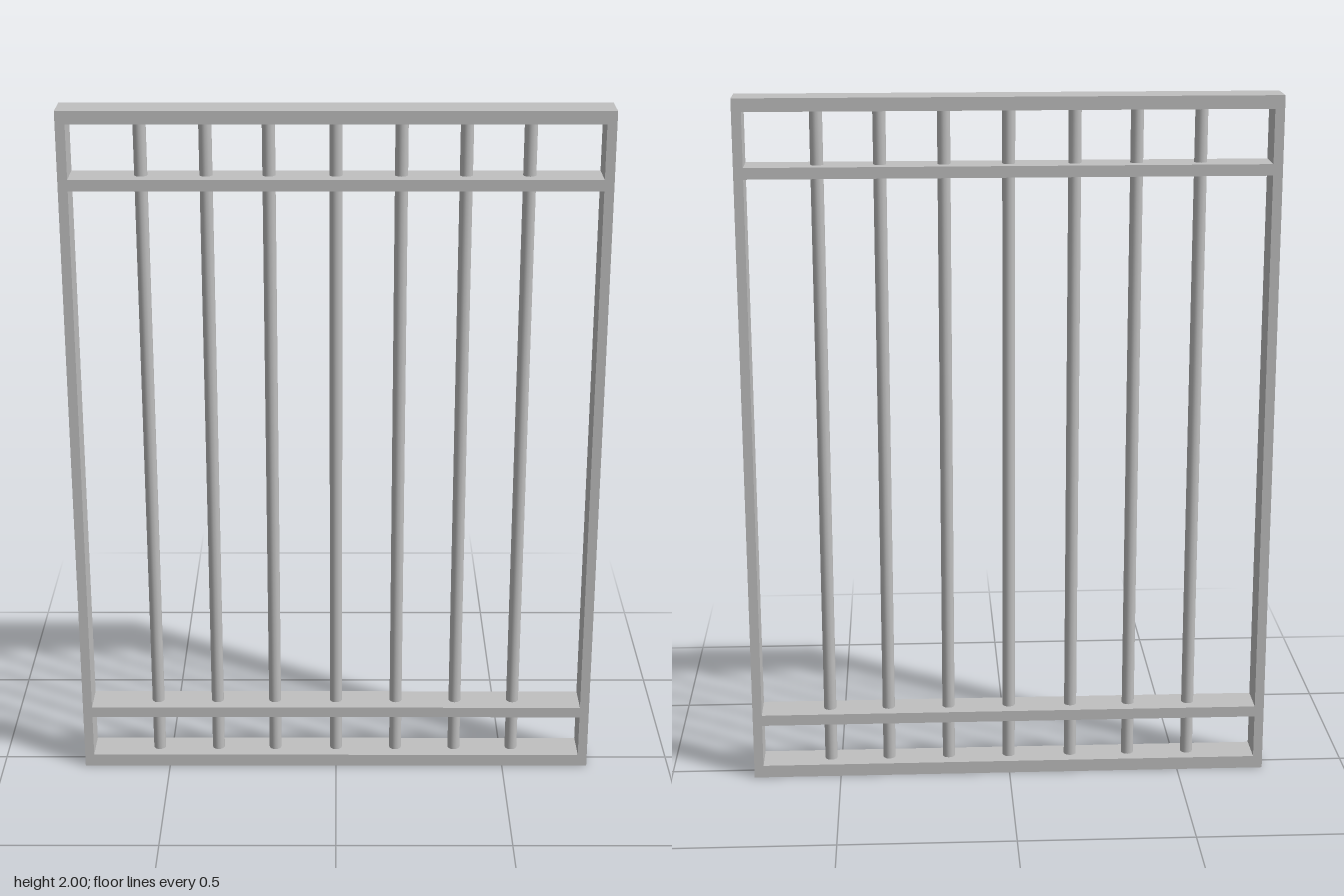
import * as THREE from 'three';

export function createModel() {
  const group = new THREE.Group();
  const steel = new THREE.MeshStandardMaterial({ color: 0xc0c0c0 });
  steel.name = 'grey steel';

  const W = 1.51, H = 2, D = 0.104;
  const side = 0.027, edge = 0.037, railH = 0.032;

  const add = (name, geometry, x, y) => {
    const mesh = new THREE.Mesh(geometry, steel);
    mesh.name = name;
    mesh.position.set(x, y, 0);
    group.add(mesh);
  };

  // Outer frame: one rectangle with a rectangular opening
  const rect = (path, w, h) => {
    path.moveTo(-w, -h);
    path.lineTo(w, -h);
    path.lineTo(w, h);
    path.lineTo(-w, h);
    path.closePath();
    return path;
  };
  const outline = rect(new THREE.Shape(), W / 2, H / 2);
  outline.holes.push(rect(new THREE.Path(), W / 2 - side, H / 2 - edge));
  const frame = new THREE.ExtrudeGeometry(outline, { depth: D, bevelEnabled: false });
  frame.translate(0, 0, -D / 2);
  add('frame', frame, 0, H / 2);

  // Cross rails, full depth of the frame
  const rail = new THREE.BoxGeometry(W - 2 * side, railH, D);
  add('lowerRail', rail, 0, 0.181);
  add('upperRail', rail, 0, 1.795);

  // Seven round upright bars between the top and bottom of the frame
  const bar = new THREE.CylinderGeometry(0.018, 0.018, H - 2 * edge, 12, 1, true);
  [-0.533, -0.355, -0.183, 0, 0.179, 0.356, 0.529].forEach((x, i) => {
    add(`bar${i + 1}`, bar, x, H / 2);
  });

  return group;
}
